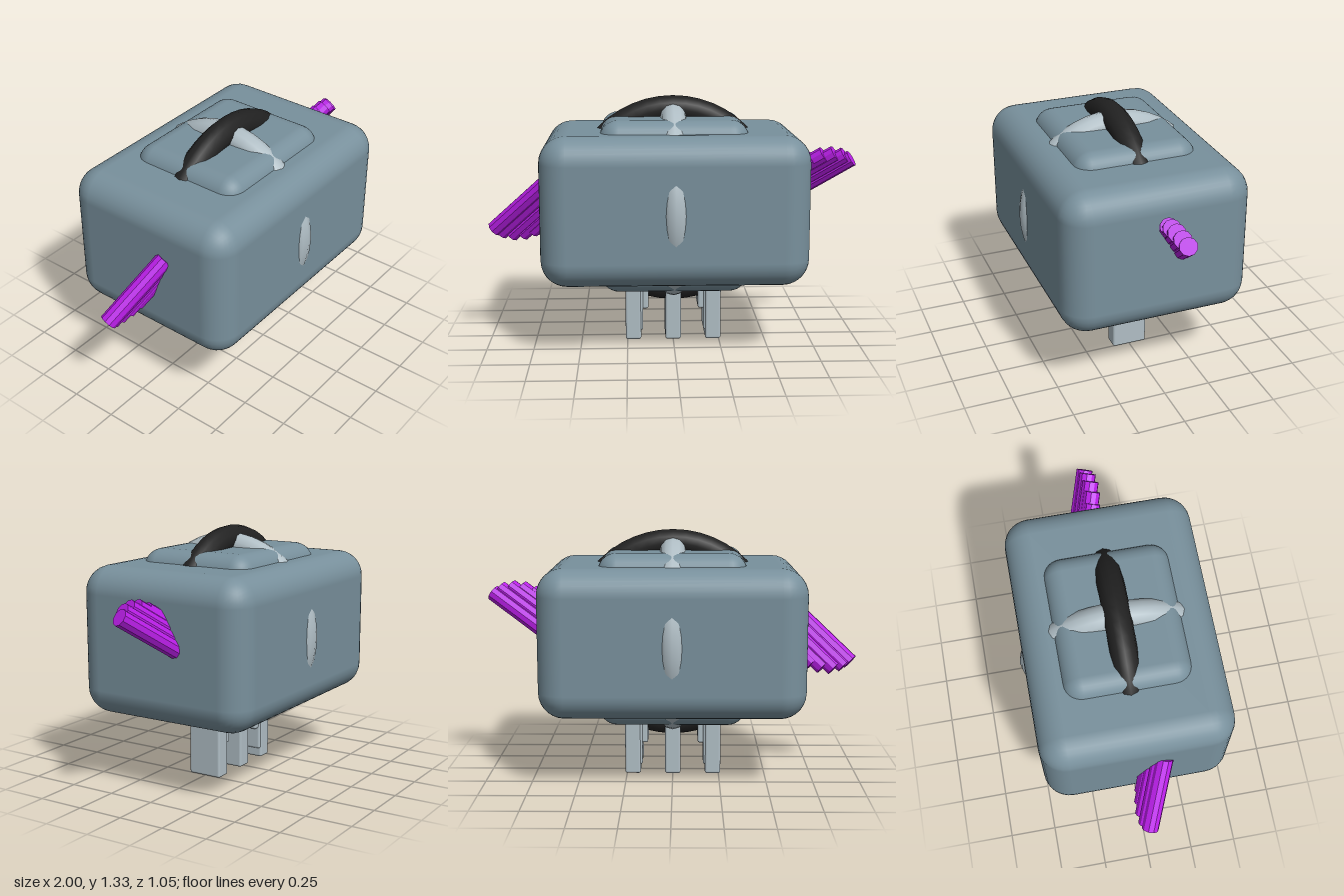
import * as THREE from 'three';
import { RoundedBoxGeometry } from 'three/addons/geometries/RoundedBoxGeometry.js';

const V = (x, y, z) => new THREE.Vector3(x, y, z);
const paint = (color, flatShading = false) => new THREE.MeshStandardMaterial({ color, flatShading });

export function createModel() {
  const root = new THREE.Group();
  const grey = paint(0x78909c), pale = paint(0xb0bec5), black = paint(0x212121), purple = paint(0xb81ee6, true);

  const add = (parent, name, geometry, material, x = 0, y = 0, z = 0) => {
    const mesh = new THREE.Mesh(geometry, material);
    mesh.name = name;
    mesh.position.set(x, y, z);
    parent.add(mesh);
    return mesh;
  };
  const roundBox = (w, h, d, r) => new RoundedBoxGeometry(w, h, d, 4, r);

  // Wide outer shell and the taller core that pokes out above and below
  add(root, 'shell', roundBox(1.39, 0.78, 1.0, 0.14), grey, 0, 0.767);
  add(root, 'core', roundBox(0.78, 0.91, 0.66, 0.1), grey, 0, 0.767);

  // Two crossed rings, mostly buried in the body
  add(root, 'wideRing', new THREE.TorusGeometry(0.493, 0.07, 12, 48), black, 0, 0.767);
  add(root, 'narrowRing', new THREE.TorusGeometry(0.455, 0.07, 12, 48), pale, 0, 0.767)
    .rotation.y = Math.PI / 2;

  // Three legs; the outer two carry shorter stepped plates on the inner side
  const legs = new THREE.Group();
  legs.name = 'legs';
  root.add(legs);
  const plate = (name, x, bottom, width, depth) =>
    add(legs, name, roundBox(width, 0.45 - bottom, depth, 0.012), pale, x, (0.45 + bottom) / 2);
  plate('middleLeg', 0, 0, 0.085, 0.19);
  for (const s of [-1, 1]) {
    plate('sideLeg', s * 0.218, 0, 0.085, 0.19);
    plate('innerPlate', s * 0.195, 0.05, 0.06, 0.18);
    plate('shortPlate', s * 0.165, 0.17, 0.06, 0.165);
  }

  // Each arm is a row of parallel rods with staggered tips
  const arm = (name, direction, tips) => {
    const group = new THREE.Group();
    group.name = name;
    root.add(group);
    const dir = direction.normalize();
    for (const tip of tips) {
      const length = 0.42;
      const rod = add(group, 'rod', new THREE.CylinderGeometry(0.045, 0.045, length, 10), purple);
      rod.quaternion.setFromUnitVectors(V(0, 1, 0), dir);
      rod.position.copy(tip).addScaledVector(dir, -length / 2);
    }
  };
  arm('leftArm', V(0.3, 0.2, 0.11), [
    V(0.972, 0.985, 0), V(0.935, 1.005, 0.012), V(0.88, 1.014, 0.018),
    V(0.82, 1.008, 0.016), V(0.76, 0.985, 0.005),
  ]);
  arm('rightArm', V(-0.3, -0.28, -0.13), [
    V(-0.968, 0.607, 0), V(-0.935, 0.588, -0.012), V(-0.88, 0.575, -0.018),
    V(-0.82, 0.58, -0.012), V(-0.765, 0.6, 0),
  ]);

  return root;
}
